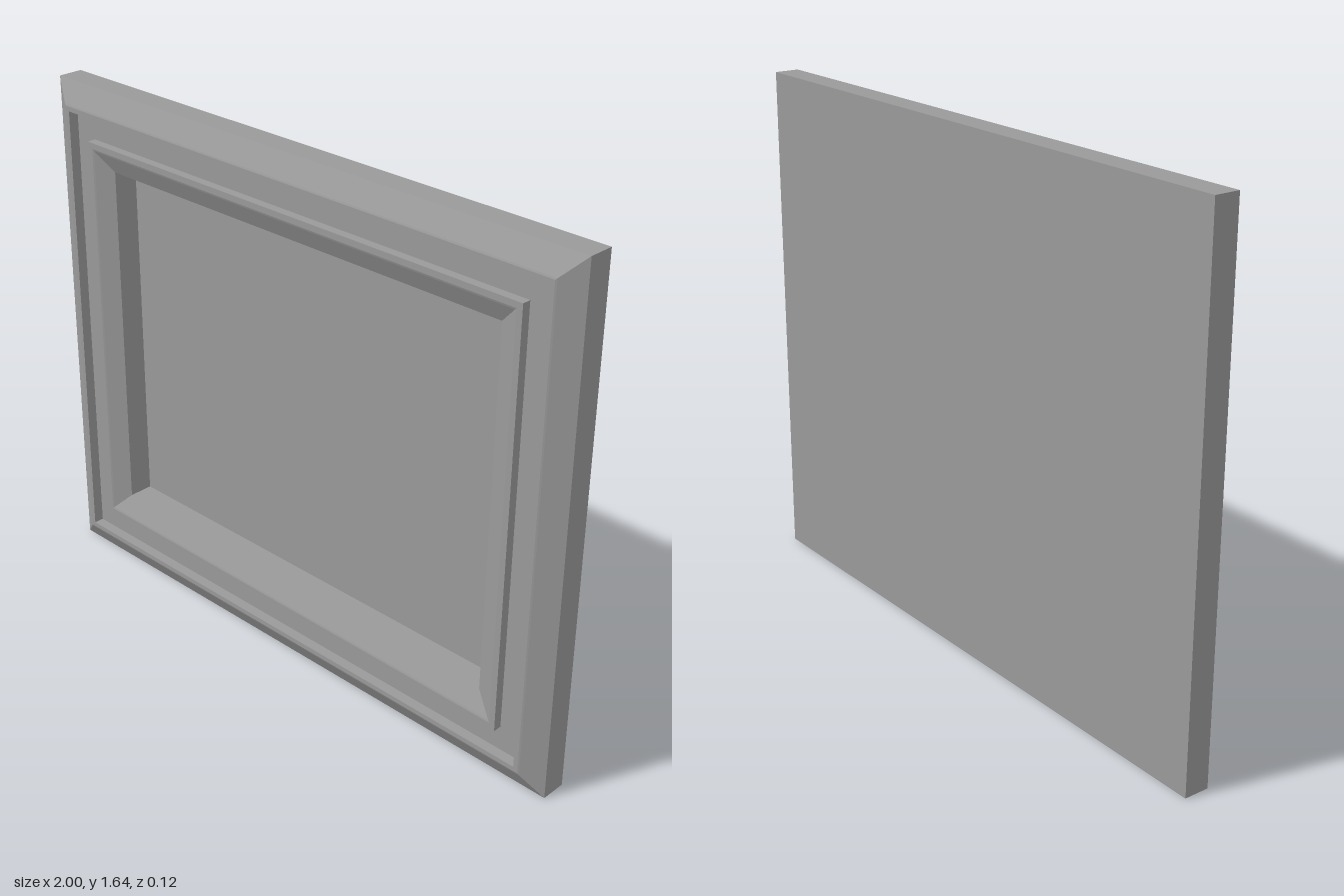
import * as THREE from 'three';

const WIDTH = 2, HEIGHT = 1.637, BACK = -0.06, OPENING = 0.248;

// Moulding cross-section: [inset from the outer edge, z], from back outer edge round to the back of the opening
const PROFILE = [
  [0, BACK], [0, 0.02], [0.065, 0.058], [0.07, 0.06], [0.085, 0.06], // outer side, bevel, lip
  [0.085, 0.027], [0.163, 0.027],                                   // sunken channel
  [0.163, 0.055], [0.182, 0.055], [0.188, 0.053],                   // inner rib
  [OPENING, 0.024], [OPENING, BACK],                                // inner bevel and wall
];

// Four mitred corners of the rectangle at one profile point, anticlockwise from the front
function ring([inset, z]) {
  const x = WIDTH / 2 - inset, low = inset, high = HEIGHT - inset;
  return [[-x, low, z], [x, low, z], [x, high, z], [-x, high, z]];
}

// Sweeps the profile round the rectangle with sharp mitred corners
function mitredFrame(profile) {
  const positions = [];
  profile.forEach((point, i) => {
    const outer = ring(point), inner = ring(profile[(i + 1) % profile.length]);
    for (let k = 0; k < 4; k++) {
      const n = (k + 1) % 4;
      positions.push(...outer[k], ...outer[n], ...inner[n], ...outer[k], ...inner[n], ...inner[k]);
    }
  });
  const geometry = new THREE.BufferGeometry();
  geometry.setAttribute('position', new THREE.Float32BufferAttribute(positions, 3));
  geometry.computeVertexNormals();
  return geometry;
}

export function createModel() {
  const model = new THREE.Group();
  model.name = 'pictureFrame';
  const material = new THREE.MeshStandardMaterial({ color: 0x9a9a9a, flatShading: true });

  // Moulded border
  const frame = new THREE.Mesh(mitredFrame(PROFILE), material);
  frame.name = 'frameMoulding';

  // Thin panel closing the opening, flush with the back
  const thickness = 0.004;
  const panel = new THREE.Mesh(
    new THREE.BoxGeometry(WIDTH - 2 * OPENING, HEIGHT - 2 * OPENING, thickness), material);
  panel.position.set(0, HEIGHT / 2, BACK + thickness / 2);
  panel.name = 'backPanel';

  model.add(frame, panel);
  return model;
}
